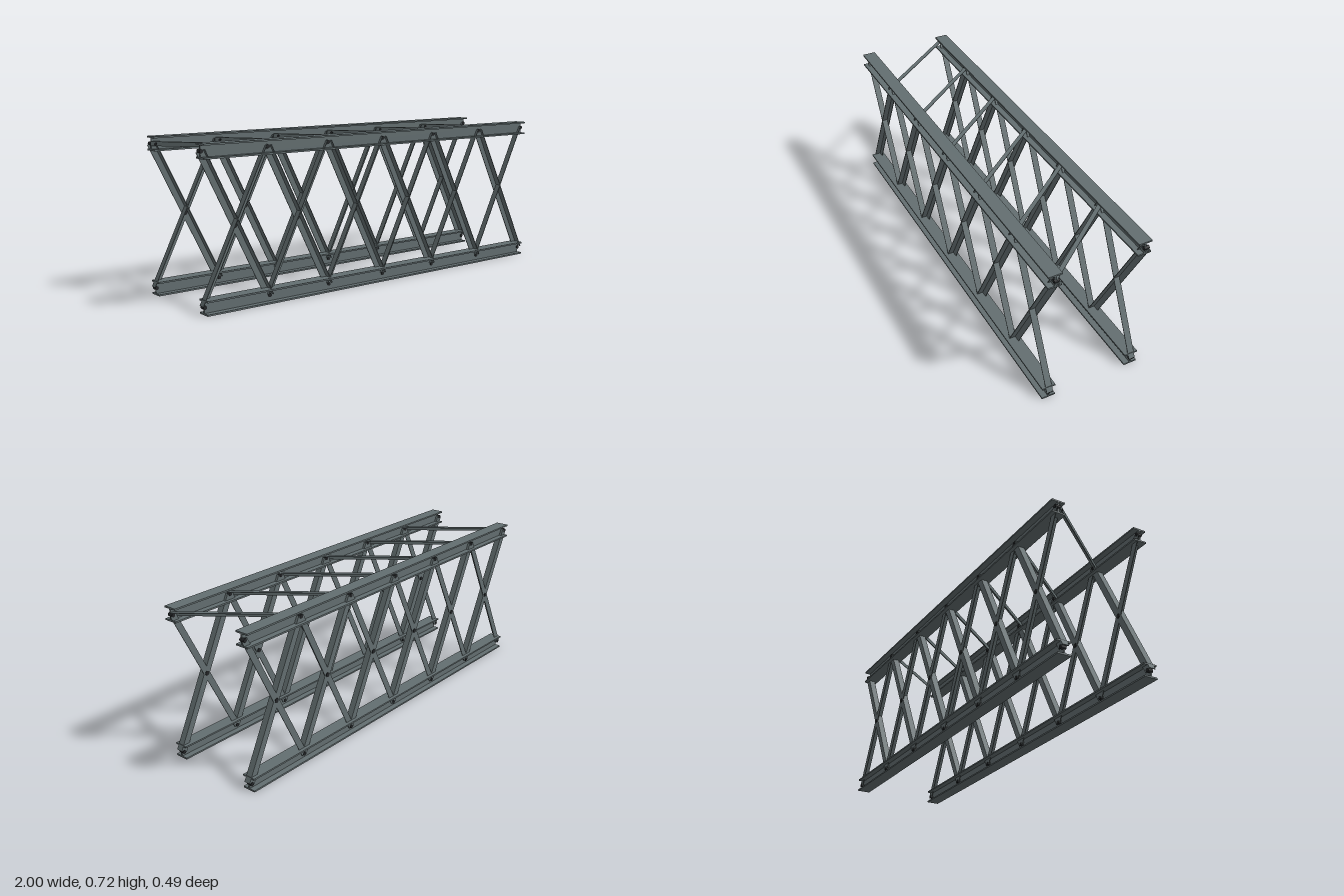
import * as THREE from 'three';

const HALF = 0.985;         // half length between the end nodes
const CHORD_HALF = 0.988;   // half length of the chords
const BAYS = 6;
const LOW = 0.0325, HIGH = 0.691; // centre heights of the chords
const SIDE = 0.214;         // distance of each frame from the middle

// I-shaped chord profile
function iShape(w, h, flange, web) {
  const a = w / 2, b = h / 2, c = b - flange, d = web / 2;
  return new THREE.Shape([
    [-a, -b], [a, -b], [a, -c], [d, -c], [d, c], [a, c],
    [a, b], [-a, b], [-a, c], [-d, c], [-d, -c], [-a, -c],
  ].map(p => new THREE.Vector2(...p)));
}

// L-shaped angle profile: upright plate on the -x side, flange along the top
function angleShape(w, t) {
  const a = w / 2;
  return new THREE.Shape([
    [-a, -a], [-a + t, -a], [-a + t, a - t], [a, a - t], [a, a], [-a, a],
  ].map(p => new THREE.Vector2(...p)));
}

// Profile swept straight from one point to another, its top kept upward
function bar(name, shape, from, to, material) {
  const dir = to.clone().sub(from);
  const geometry = new THREE.ExtrudeGeometry(shape, { depth: dir.length(), bevelEnabled: false });
  dir.normalize();
  const side = new THREE.Vector3(0, 1, 0).cross(dir).normalize();
  const up = dir.clone().cross(side);
  geometry.applyMatrix4(new THREE.Matrix4().makeBasis(side, up, dir).setPosition(from));
  const mesh = new THREE.Mesh(geometry, material);
  mesh.name = name;
  return mesh;
}

// Round bolt running from one point to another
function bolt(radius, from, to, material) {
  const dir = to.clone().sub(from);
  const mesh = new THREE.Mesh(new THREE.CylinderGeometry(radius, radius, dir.length(), 12), material);
  mesh.position.copy(from).add(to).multiplyScalar(0.5);
  mesh.quaternion.setFromUnitVectors(new THREE.Vector3(0, 1, 0), dir.normalize());
  mesh.name = 'bolt';
  return mesh;
}

export function createModel() {
  const steel = new THREE.MeshStandardMaterial({ color: 0x636e70 });
  steel.name = 'slate grey steel';
  const dark = new THREE.MeshStandardMaterial({ color: 0x222426 });
  dark.name = 'dark bolt metal';
  const model = new THREE.Group();
  model.name = 'trussBridge';
  const v = (x, y, z) => new THREE.Vector3(x, y, z);
  const chord = iShape(0.065, 0.065, 0.0075, 0.007);
  const webAngle = angleShape(0.031, 0.003);
  const braceAngle = angleShape(0.02, 0.003);
  const node = i => -HALF + (2 * HALF * i) / BAYS;

  // Two side frames, each with two chords and crossed diagonals
  for (const z of [SIDE, -SIDE]) {
    const frame = new THREE.Group();
    frame.name = z > 0 ? 'frontFrame' : 'backFrame';
    frame.add(bar('lowerChord', chord, v(-CHORD_HALF, LOW, z), v(CHORD_HALF, LOW, z), steel));
    frame.add(bar('upperChord', chord, v(-CHORD_HALF, HIGH, z), v(CHORD_HALF, HIGH, z), steel));
    for (let i = 0; i < BAYS; i++) {
      const x0 = node(i), x1 = node(i + 1), x = (x0 + x1) / 2, y = (LOW + HIGH) / 2;
      frame.add(bar('fallingDiagonal', webAngle, v(x1, LOW, z), v(x0, HIGH, z), steel));
      frame.add(bar('risingDiagonal', webAngle, v(x1, HIGH, z), v(x0, LOW, z), steel));
      // Bolt where the diagonals cross
      frame.add(bolt(0.011, v(x, y, z - 0.018), v(x, y, z - 0.008), dark));
    }
    // Bolts through the chords at the nodes
    for (let i = 0; i <= BAYS; i++) {
      for (const y of [LOW, HIGH]) {
        frame.add(bolt(0.009, v(node(i), y, z - 0.018), v(node(i), y, z + 0.007), dark));
      }
    }
    model.add(frame);
  }

  // Slanted braces joining the upper chords, bolted near the back chord
  for (let i = 0; i < BAYS; i++) {
    const from = v(node(i), HIGH, -SIDE), to = v(node(i + 1), HIGH, SIDE);
    model.add(bar('topBrace', braceAngle, from, to, steel));
    const dir = to.clone().sub(from).normalize();
    const side = v(dir.z, 0, -dir.x);
    const spot = from.clone().addScaledVector(dir, 0.025).setY(HIGH - 0.001);
    model.add(bolt(0.007, spot.clone().addScaledVector(side, -0.012),
      spot.clone().addScaledVector(side, -0.005), dark));
  }
  return model;
}
